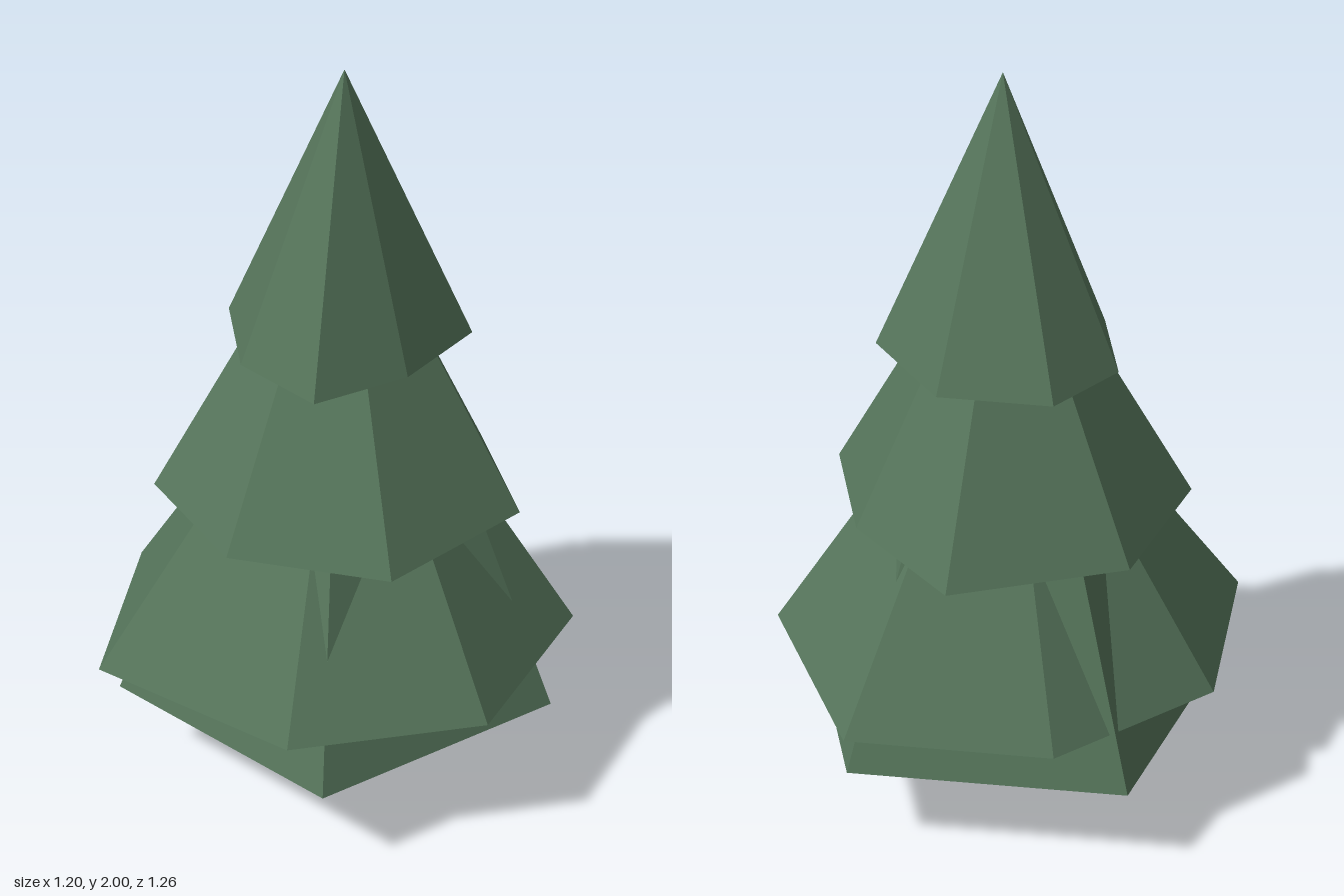
import * as THREE from 'three';

// Flat-faced solid from a list of triangle corner points
function solid(points, material, name) {
  const geometry = new THREE.BufferGeometry().setFromPoints(points);
  geometry.computeVertexNormals();
  const mesh = new THREE.Mesh(geometry, material);
  mesh.name = name;
  return mesh;
}

// Each ring lists [x, z] corners, clockwise seen from above
function loop(ring, fn) {
  ring.forEach((p, i) => fn(p, ring[(i + 1) % ring.length]));
}

const at = ([x, z], y) => new THREE.Vector3(x, y, z);

// Irregular cone with a closed underside
function cone(ring, y, apex, material, name) {
  const tip = new THREE.Vector3(...apex);
  const base = new THREE.Vector3(0, y, 0);
  const points = [];
  loop(ring, (a, b) => points.push(at(b, y), at(a, y), tip, at(a, y), at(b, y), base));
  return solid(points, material, name);
}

// Irregular straight post with closed ends
function post(ring, y0, y1, material, name) {
  const low = new THREE.Vector3(0, y0, 0);
  const high = new THREE.Vector3(0, y1, 0);
  const points = [];
  loop(ring, (a, b) => points.push(
    at(b, y0), at(a, y0), at(a, y1),
    at(b, y0), at(a, y1), at(b, y1),
    at(a, y0), at(b, y0), low,
    at(b, y1), at(a, y1), high,
  ));
  return solid(points, material, name);
}

export function createModel() {
  const green = new THREE.MeshStandardMaterial({ color: 0x55745a });
  green.name = 'pine green';
  const brown = new THREE.MeshStandardMaterial({ color: 0x6b574d });
  brown.name = 'bark brown';
  green.flatShading = brown.flatShading = true;

  const tree = new THREE.Group();
  tree.name = 'pineTree';

  // Five-sided trunk
  tree.add(post(
    [[-0.113, -0.02], [-0.01, -0.075], [0.08, 0], [0.045, 0.11], [-0.08, 0.1]],
    0, 0.4, brown, 'trunk'));

  // Overlapping foliage tiers, bottom to top
  const tiers = [
    { name: 'bottomFoliage', y: 0.26, apex: [-0.01, 1.76, 0],
      ring: [[-0.595, -0.165], [0, -0.58], [0.565, -0.16], [0.343, 0.518], [-0.37, 0.51]] },
    { name: 'lowerFoliage', y: 0.41, apex: [-0.01, 1.37, 0],
      ring: [[-0.045, -0.63], [0.497, -0.347], [0.598, 0.17], [0.27, 0.568],
        [-0.323, 0.628], [-0.6, 0.17], [-0.485, -0.327]] },
    { name: 'upperFoliage', y: 0.84, apex: [-0.02, 1.7, 0],
      ring: [[-0.23, -0.445], [0.155, -0.37], [0.457, -0.135], [0.393, 0.31],
        [0.012, 0.49], [-0.353, 0.36], [-0.487, 0.05 - 0.1]] },
    { name: 'topFoliage', y: 1.27, apex: [0.015, 2, 0.03],
      ring: [[-0.06, -0.293], [0.25, -0.19], [0.26, 0.085], [0.163, 0.327],
        [-0.095, 0.3], [-0.305, 0.107], [-0.303, -0.135]] },
  ];
  tiers.forEach(t => tree.add(cone(t.ring, t.y, t.apex, green, t.name)));

  return tree;
}
